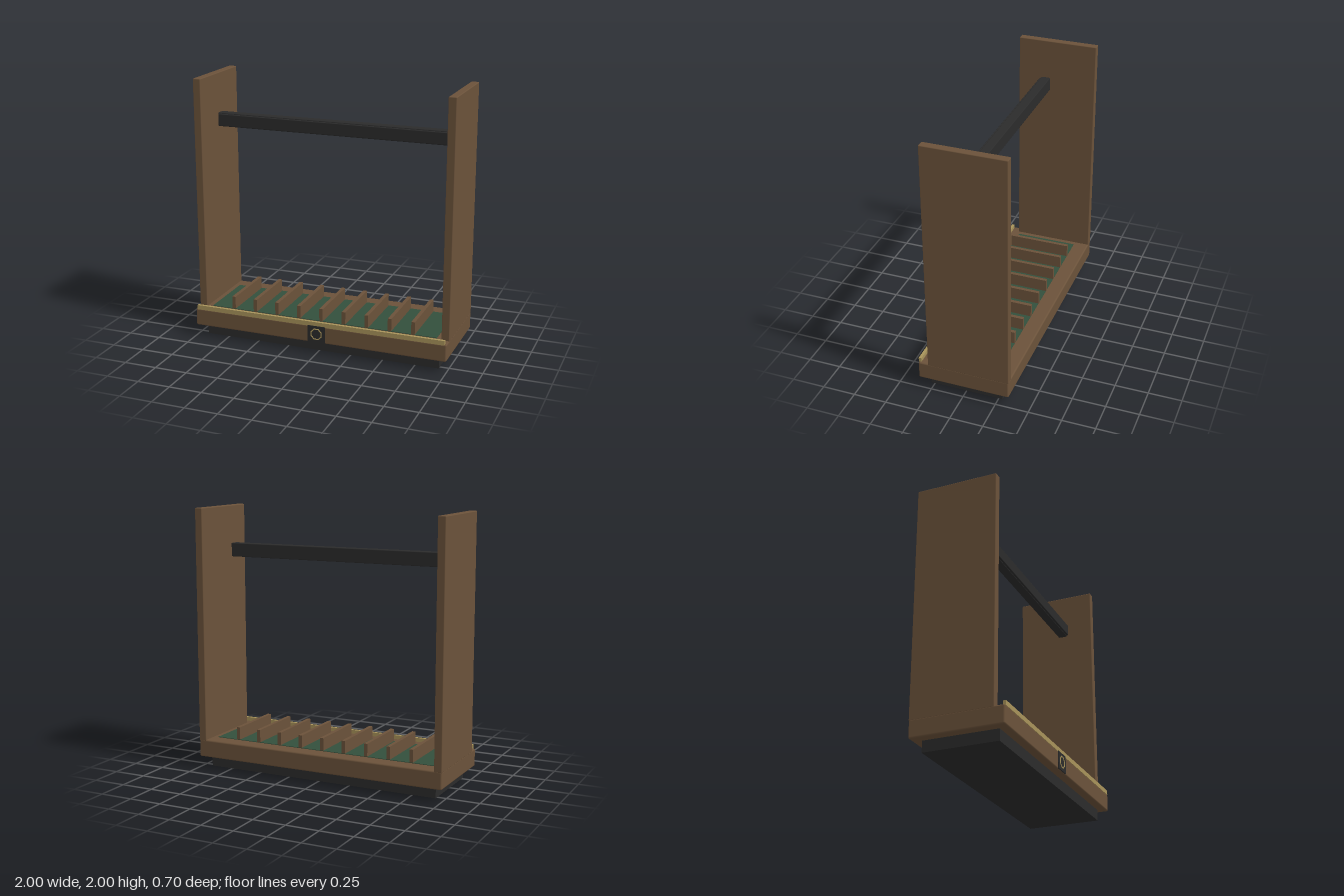
import * as THREE from 'three';
import { RoundedBoxGeometry } from 'three/addons/geometries/RoundedBoxGeometry.js';

export function createModel() {
  const model = new THREE.Group();
  model.name = 'displayRack';

  const material = (name, color) => {
    const m = new THREE.MeshStandardMaterial({ color });
    m.name = name;
    return m;
  };
  const wood = material('wood', 0x6b523a);
  const black = material('blackPaint', 0x2b2b2b);
  const felt = material('greenFelt', 0x334f3c);
  const brass = material('brass', 0xa8935a);

  // Box given by its extents on each axis, with an optional softened edge
  function box(name, mat, [x0, x1], [y0, y1], [z0, z1], radius = 0) {
    const size = [x1 - x0, y1 - y0, z1 - z0];
    const geometry = radius
      ? new RoundedBoxGeometry(...size, 2, radius)
      : new THREE.BoxGeometry(...size);
    const mesh = new THREE.Mesh(geometry, mat);
    mesh.name = name;
    mesh.position.set((x0 + x1) / 2, (y0 + y1) / 2, (z0 + z1) / 2);
    model.add(mesh);
    return mesh;
  }

  // Recessed plinth and wooden base
  box('plinth', black, [-0.93, 0.93], [0, 0.09], [-0.28, 0.28]);
  box('base', wood, [-1, 1], [0.085, 0.22], [-0.35, 0.345], 0.012);

  // Felt bed with its dividers
  box('feltBed', felt, [-0.9, 0.9], [0.216, 0.224], [-0.235, 0.25]);
  for (let i = -4; i <= 4; i++) {
    const x = i * 0.18;
    box('divider', wood, [x - 0.014, x + 0.014], [0.22, 0.32], [-0.235, 0.25]);
  }

  // Upright side panels
  box('leftPanel', wood, [0.94, 1], [0.21, 2], [-0.35, 0.27], 0.006);
  box('rightPanel', wood, [-1, -0.94], [0.21, 2], [-0.35, 0.27], 0.006);

  // Upper rest rail with a padded front face
  box('restRail', black, [-0.9, 0.9], [1.61, 1.715], [0, 0.07], 0.006);
  box('railPad', black, [-0.893, 0.893], [1.617, 1.707], [0.06, 0.085], 0.005);

  // Brass strip along the front edge
  box('brassStrip', brass, [-0.985, 0.985], [0.215, 0.25], [0.325, 0.347]);

  // Front plate with an octagonal ring
  box('frontPlate', black, [-0.07, 0.07], [0.09, 0.22], [0.342, 0.35]);
  const ring = new THREE.Mesh(new THREE.TorusGeometry(0.043, 0.006, 6, 8), brass);
  ring.name = 'brassRing';
  ring.position.set(0, 0.155, 0.348);
  ring.rotation.z = Math.PI / 8;
  model.add(ring);

  return model;
}
